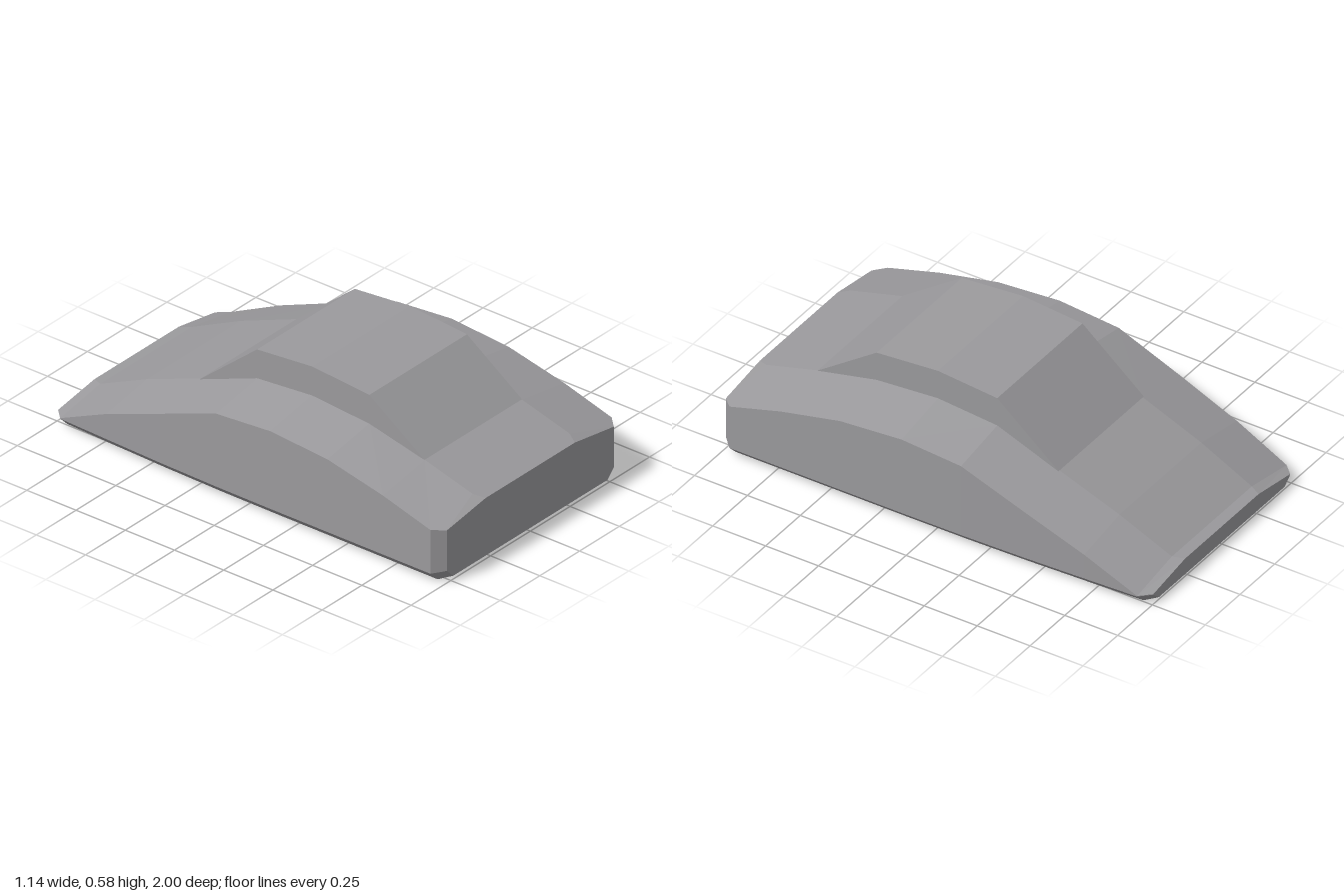
import * as THREE from 'three';

const material = new THREE.MeshStandardMaterial({ color: 0x9b9a9d, flatShading: true });

// Cross-sections from front to back:
// z, half width, floor half width, floor y, chamfer y, shoulder y, roof half width, roof y
const sections = [
  [1.0, 0.525, 0.485, 0.015, 0.055, 0.24, 0.28, 0.278],
  [0.953, 0.57, 0.525, 0, 0.045, 0.245, 0.305, 0.291],
  [0.71, 0.57, 0.525, 0, 0.045, 0.315, 0.305, 0.358],
  [0.43, 0.57, 0.525, 0, 0.045, 0.377, 0.305, 0.422],
  [0.14, 0.57, 0.525, 0, 0.045, 0.4, 0.305, 0.445],
  [-0.14, 0.568, 0.523, 0, 0.045, 0.378, 0.304, 0.422],
  [-0.43, 0.561, 0.516, 0, 0.045, 0.268, 0.3, 0.312],
  [-0.71, 0.55, 0.505, 0, 0.045, 0.16, 0.295, 0.204],
  [-0.953, 0.538, 0.493, 0, 0.044, 0.047, 0.288, 0.091],
  [-1.0, 0.493, 0.453, 0.01, 0.045, 0.048, 0.265, 0.085],
];

// Mirrored eight-sided outline of one section, counter-clockwise from the front
function ring([z, w, floorW, floorY, chamferY, shoulderY, roofW, roofY]) {
  const half = [[floorW, floorY], [w, chamferY], [w, shoulderY], [roofW, roofY]];
  const mirrored = half.map(([x, y]) => [-x, y]).reverse();
  return [...half, ...mirrored].map(([x, y]) => [x, y, z]);
}

function loft(rings) {
  const pos = [];
  const tri = (a, b, c) => pos.push(...a, ...b, ...c);
  const n = rings[0].length;
  for (let i = 0; i < rings.length - 1; i++) {
    const f = rings[i], b = rings[i + 1];
    for (let j = 0; j < n; j++) {
      const k = (j + 1) % n;
      // Diagonals mirror between the two sides
      if (j < n / 2) {
        tri(f[j], b[j], b[k]);
        tri(f[j], b[k], f[k]);
      } else {
        tri(f[j], b[j], f[k]);
        tri(f[k], b[j], b[k]);
      }
    }
  }
  // End caps
  const front = rings[0], back = rings[rings.length - 1];
  for (let j = 1; j < n - 1; j++) {
    tri(front[0], front[j], front[j + 1]);
    tri(back[0], back[j + 1], back[j]);
  }
  const geo = new THREE.BufferGeometry();
  geo.setAttribute('position', new THREE.Float32BufferAttribute(pos, 3));
  geo.computeVertexNormals();
  return geo;
}

export function createModel() {
  const model = new THREE.Group();
  model.name = 'wedgeVehicle';

  // Chamfered wedge body
  const body = new THREE.Mesh(loft(sections.map(ring)), material);
  body.name = 'body';
  model.add(body);

  // Raised cabin: side profile (z, y) extruded across the width, its base sunk into the body
  const profile = [[0.71, 0.358], [0.43, 0.553], [0.14, 0.577], [-0.14, 0.553], [-0.43, 0.312], [-0.4, 0.2], [0.68, 0.2]];
  const shape = new THREE.Shape(profile.map(([z, y]) => new THREE.Vector2(z, y)));
  const cabinGeo = new THREE.ExtrudeGeometry(shape, { depth: 0.614, bevelEnabled: false });
  cabinGeo.translate(0, 0, -0.307).rotateY(-Math.PI / 2);
  const cabin = new THREE.Mesh(cabinGeo, material);
  cabin.name = 'cabin';
  model.add(cabin);

  return model;
}
